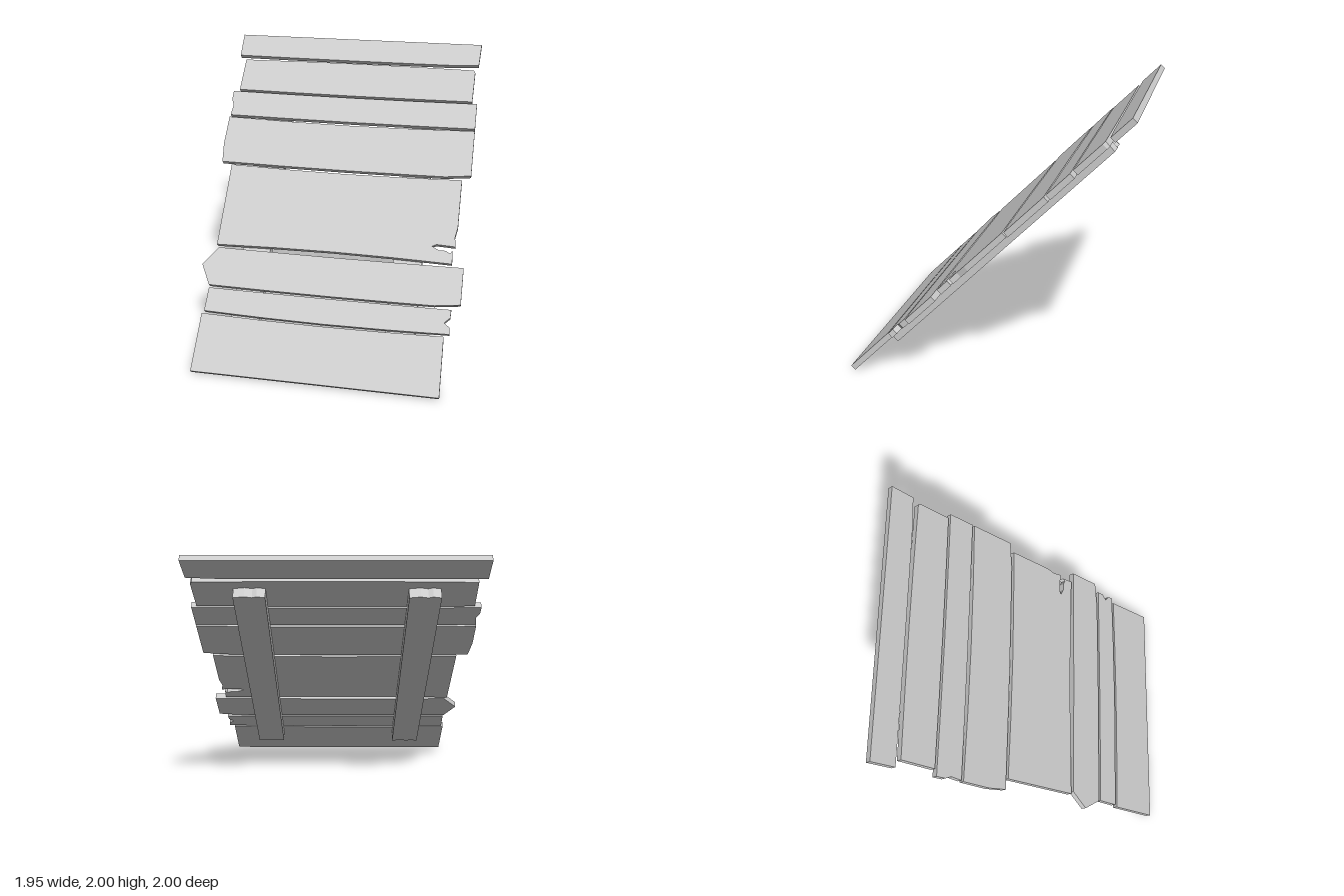
import * as THREE from 'three';

const SLOPE = Math.SQRT2;      // length along the 45 degree slope per unit of height
const PLANK = 0.0424;          // plank thickness
const BEAM = 0.071;            // beam thickness

// Outline of a worn board, counter-clockwise. Heights are those of the upper face.
// bottom and top: [left x, right x, height, bow in the middle, lift at the right corner]
// leftEnd and rightEnd: extra [x, height] points where an end is broken
function boardOutline({ bottom, top, leftEnd = [], rightEnd = [] }) {
  const edge = ([x0, x1, h, bow, lift = 0]) => [0, 0.25, 0.5, 0.75, 0.9, 1].map((t) =>
    [x0 + (x1 - x0) * t, h + bow * Math.sin(Math.PI * t) + (t === 1 ? lift : 0)]);
  return [...edge(bottom), ...rightEnd, ...edge(top).reverse(), ...leftEnd];
}

// Extrude an outline lying in the sloping plane
function board(name, outline, depth, material) {
  const shape = new THREE.Shape(outline.map(([x, h]) => new THREE.Vector2(x, (h - 0.03) * SLOPE)));
  const mesh = new THREE.Mesh(new THREE.ExtrudeGeometry(shape, { depth, bevelEnabled: false }), material);
  mesh.name = name;
  return mesh;
}

export function createModel() {
  const wood = new THREE.MeshStandardMaterial({ color: 0xcccccc });
  wood.name = 'pale grey wood';

  const panel = new THREE.Group();
  panel.name = 'slopingPanel';
  panel.rotation.x = -Math.PI / 4;
  panel.position.z = 0.97;

  const addPlank = (name, spec) => panel.add(board(name, boardOutline(spec), PLANK, wood));

  // Cross planks, from the lowest to the highest
  addPlank('bottomPlank', { bottom: [-0.905, 0.875, 0.03, 0], top: [-0.9, 0.87, 0.332, -0.01] });
  addPlank('notchedPlank', {
    bottom: [-0.885, 0.91, 0.346, -0.011], top: [-0.88, 0.907, 0.471, -0.003],
    rightEnd: [[0.905, 0.38], [0.865, 0.402], [0.905, 0.43]],
  });
  addPlank('pointedPlank', {
    bottom: [-0.885, 0.97, 0.486, -0.005, 0.014], top: [-0.86, 0.97, 0.694, -0.004],
    leftEnd: [[-0.965, 0.595]],
  });
  addPlank('crackedPlank', {
    bottom: [-0.88, 0.885, 0.71, 0.011], top: [-0.88, 0.905, 1.175, -0.011],
    rightEnd: [[0.88, 0.782], [0.865, 0.765], [0.83, 0.778], [0.78, 0.778], [0.73, 0.797],
      [0.76, 0.808], [0.9, 0.803], [0.89, 0.855], [0.905, 0.91]],
  });
  addPlank('widePlank', {
    bottom: [-0.96, 0.97, 1.19, -0.006, 0.013], top: [-0.97, 0.97, 1.465, -0.012],
    leftEnd: [[-0.975, 1.3]],
  });
  addPlank('chippedPlank', {
    bottom: [-0.965, 0.97, 1.478, -0.004], top: [-0.975, 0.97, 1.629, -0.005],
    leftEnd: [[-0.975, 1.575], [-0.955, 1.54]],
  });
  addPlank('upperPlank', {
    bottom: [-0.928, 0.932, 1.641, -0.004], top: [-0.92, 0.925, 1.836, 0.006],
    rightEnd: [[0.937, 1.82]],
  });
  addPlank('topPlank', { bottom: [-0.975, 0.96, 1.863, -0.003, 0.007], top: [-0.975, 0.97, 2, 0] });

  // Two support beams with slightly ragged ends underneath
  for (const [name, x] of [['leftBeam', 0.56], ['rightBeam', -0.58]]) {
    const beamEnd = (h) => [-0.105, -0.05, -0.02, 0.03, 0.105].map((dx, i) => [x + dx, h + (i % 2) * 0.008]);
    const beam = board(name, [...beamEnd(0.238), ...beamEnd(1.784).reverse()], BEAM, wood);
    beam.position.z = -BEAM;
    panel.add(beam);
  }

  const model = new THREE.Group();
  model.name = 'plankPanel';
  model.add(panel);
  return model;
}
